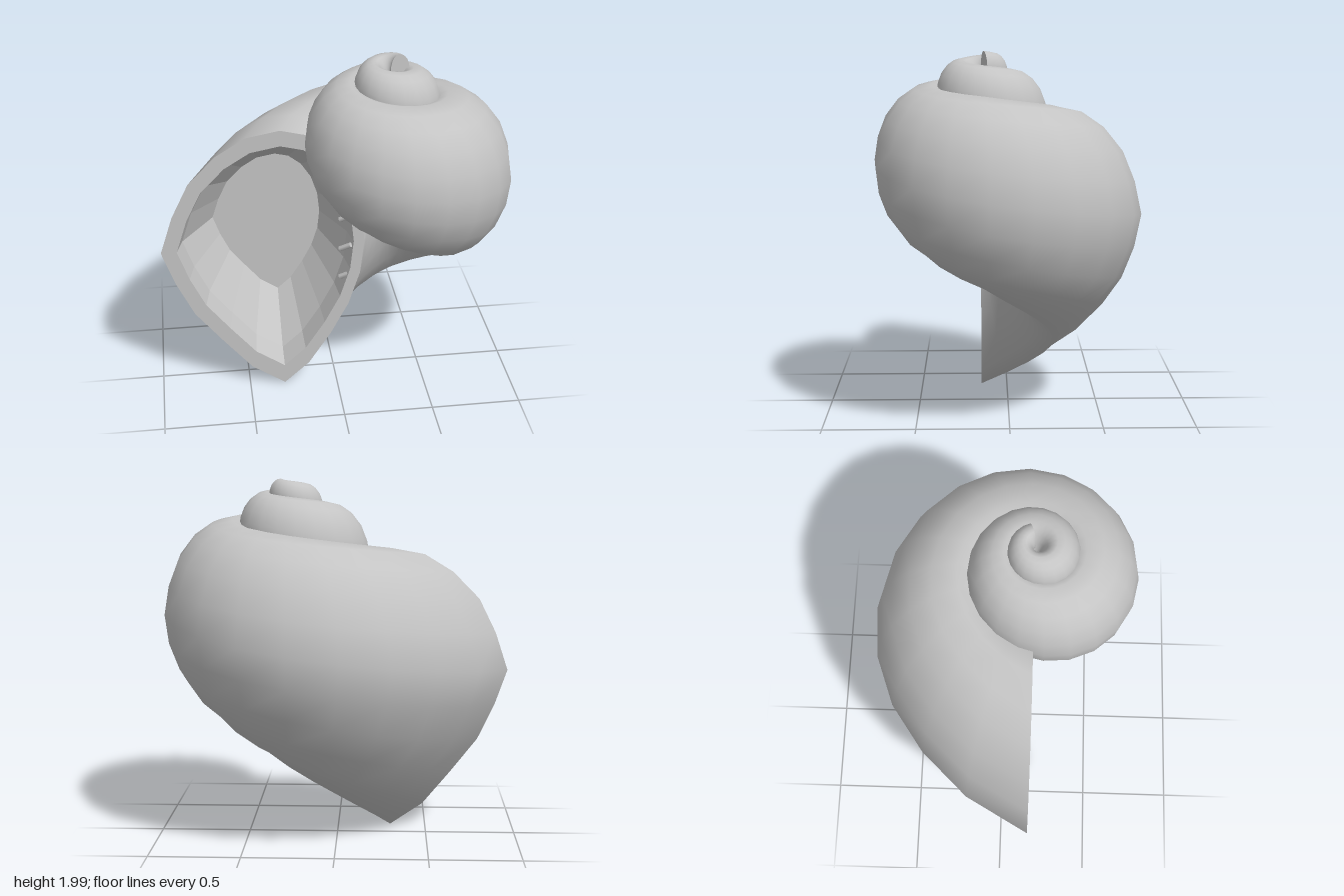
import * as THREE from 'three';

const STATIONS = 50;
const STEP = THREE.MathUtils.degToRad(882 / STATIONS);   // about two and a half turns
const AXIS_X = 0.27, AXIS_Z = 0.15;
const SIDES = 20;

// Quarter outlines of the angular lip, from the widest point to the top or bottom
const LIP_OUT = [1, 0.894, 0.75, 0.523, 0.28, 0];
const LIP_DOWN = [0, 0.22, 0.44, 0.65, 0.862, 1];
const mix = THREE.MathUtils.lerp;

// Cross-section as [radial, up]; t runs from the pointed lip (0) to the rounded coil (1)
function section(t) {
  const points = [];
  for (let j = 0; j < SIDES; j++) {
    const quarter = Math.floor(j / 5), k = j % 5;
    const n = quarter % 2 ? 5 - k : k;
    const cos = Math.cos(n * Math.PI / 10), sin = Math.sin(n * Math.PI / 10);
    const upper = quarter < 2, outer = quarter === 0 || quarter === 3;
    points.push([
      outer ? 0.66 * mix(LIP_OUT[n], cos, upper ? 0.75 * t : t) : -0.455 * cos,
      upper ? mix(0.642, 0.705, t) * sin : -mix(0.848, 0.72, t) * mix(LIP_DOWN[n], sin, t),
    ]);
  }
  return points;
}

// Growing spiral station, widened towards the lip; inset shrinks the ring, depth pushes it back
function ring(i, inset = 1, depth = 0) {
  const base = 1.075 * Math.exp(-0.0437 * i);
  const width = base * ([1.144, 1.07, 1.018, 1.003][i] ?? 1) / 1.23;
  const y = 2.05 - 1.17 * base + 0.11 * base * base;
  const c = Math.cos(i * STEP), s = Math.sin(i * STEP);
  return section(Math.min(i / 10, 1)).map(([u, v]) => {
    const r = width * (0.57 + u * inset);
    return [AXIS_X - c * r, y + v * inset * base, AXIS_Z - s * r - depth];
  });
}

// Skin a list of closed rings
function loft(rings, flip, flat) {
  const index = [];
  for (let i = 0; i < rings.length - 1; i++) {
    for (let j = 0; j < SIDES; j++) {
      const a = i * SIDES + j, b = i * SIDES + (j + 1) % SIDES, c = a + SIDES, d = b + SIDES;
      if (flip) index.push(a, c, b, b, c, d);
      else index.push(a, b, c, b, d, c);
    }
  }
  let g = new THREE.BufferGeometry();
  g.setAttribute('position', new THREE.Float32BufferAttribute(rings.flat(2), 3));
  g.setIndex(index);
  if (flat) g = g.toNonIndexed();
  g.computeVertexNormals();
  return g;
}

export function createModel() {
  const model = new THREE.Group();
  model.name = 'spiralShell';
  const shellGrey = new THREE.MeshStandardMaterial({ color: 0xc4c4c4 });
  shellGrey.name = 'shellGrey';

  const add = (name, geometry) => {
    const mesh = new THREE.Mesh(geometry, shellGrey);
    mesh.name = name;
    model.add(mesh);
    return mesh;
  };

  // Coiled outer wall and the closed tip of the coil
  const whorls = [];
  for (let i = 0; i <= STATIONS; i++) whorls.push(ring(i));
  add('whorls', loft(whorls, false, false));
  add('apexCap', loft([ring(STATIONS), ring(STATIONS, 0)], false, true));

  // Flat lip and the faceted hollow behind it
  add('lip', loft([ring(0), ring(0, 0.87)], true, true));
  add('apertureWall', loft([ring(0, 0.87), ring(0, 0.82, 0.12), ring(0, 0.55, 0.38)], true, true));
  add('apertureFloor', loft([ring(0, 0.55, 0.38), ring(0, 0, 0.38)], true, true));

  // Small ridges on the inner lip
  for (const y of [0.69, 0.87, 1.055]) {
    const tooth = add('lipTooth', new THREE.CylinderGeometry(0.015, 0.015, 0.075, 6));
    tooth.position.set(0.053, y, 0.12);
    tooth.quaternion.setFromUnitVectors(
      new THREE.Vector3(0, 1, 0), new THREE.Vector3(0.75, 0.5, 0.4).normalize());
  }
  return model;
}
